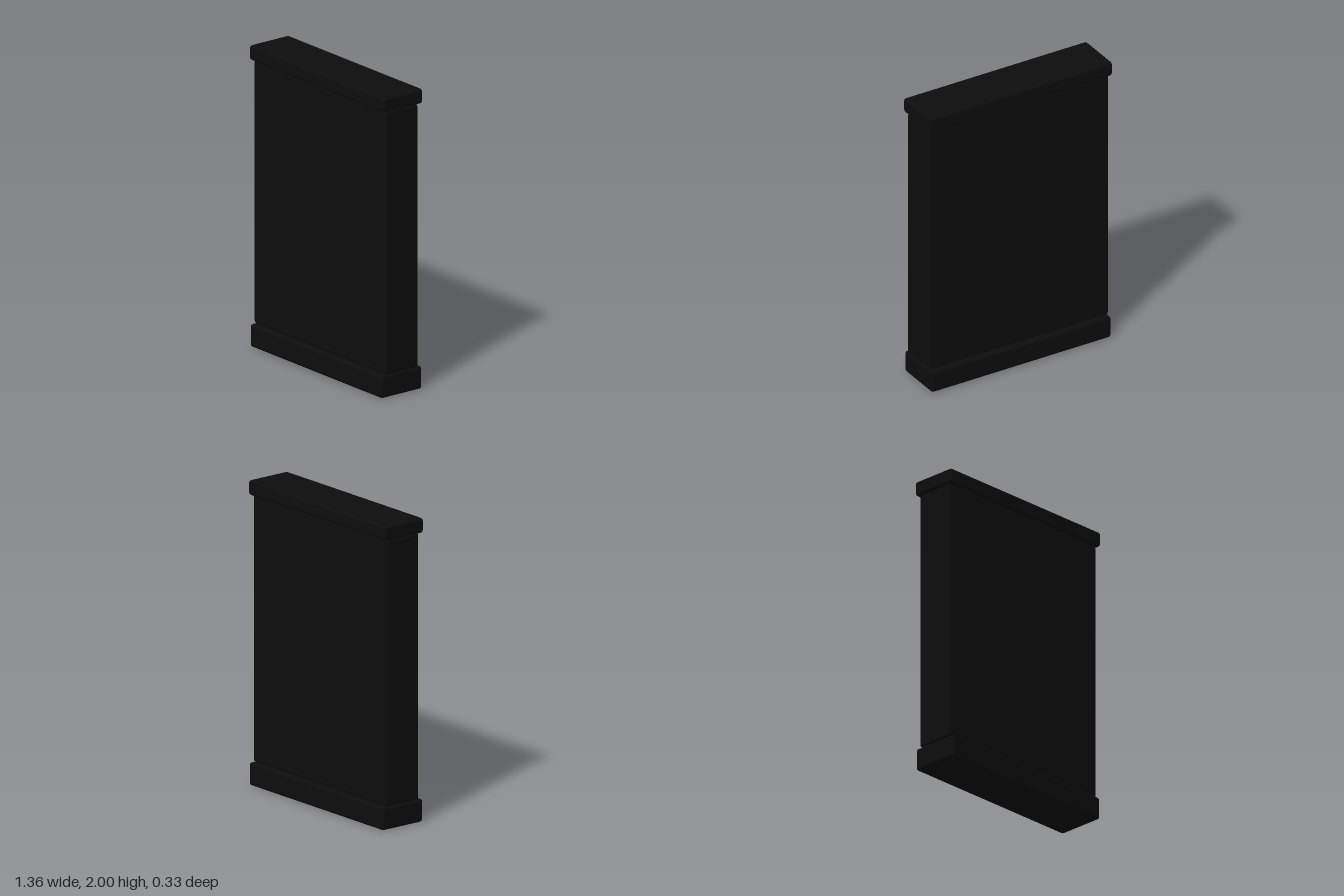
import * as THREE from 'three';
import { RoundedBoxGeometry } from 'three/addons/geometries/RoundedBoxGeometry.js';

export function createModel() {
  const model = new THREE.Group();
  model.name = 'slabPillar';

  const black = new THREE.MeshStandardMaterial({ color: 0x0d0d0d });
  black.name = 'black';

  // Softly bevelled block standing between two heights, centred on x and z
  const addBlock = (name, width, bottom, top, depth, bevel) => {
    const geometry = new RoundedBoxGeometry(width, top - bottom, depth, 2, bevel);
    const mesh = new THREE.Mesh(geometry, black);
    mesh.name = name;
    mesh.position.y = (bottom + top) / 2;
    model.add(mesh);
  };

  addBlock('base', 1.33, 0, 0.15, 0.33, 0.018);
  addBlock('panel', 1.33, 0.15, 1.902, 0.264, 0.016);
  addBlock('cap', 1.358, 1.902, 2, 0.318, 0.018);

  return model;
}
